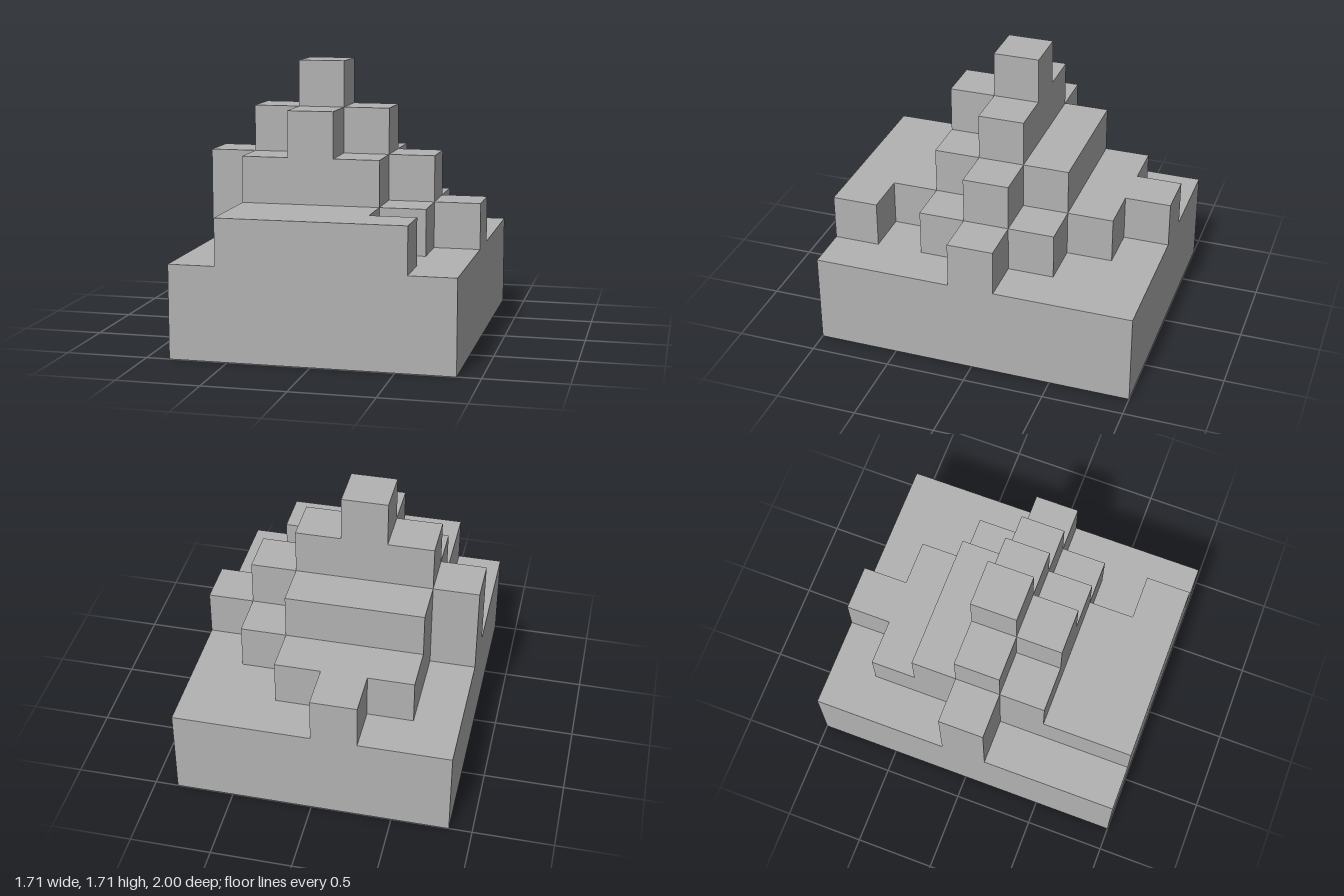
import * as THREE from 'three';
import { mergeGeometries } from 'three/addons/utils/BufferGeometryUtils.js';

const U = 2 / 7; // edge of one cube

// Column heights in cubes: rows run back to front, digits from -x to +x
const HEIGHTS = ['223222', '233322', '244432', '456543', '245432', '233322', '233332']
  .map((row) => [...row].map(Number));
const NX = 6, NZ = 7;
const heightAt = (i, j) => HEIGHTS[j]?.[i] ?? 0;

// One outward-facing rectangle
function face(w, h, x, y, z, rx, ry) {
  return new THREE.PlaneGeometry(w, h).rotateX(rx).rotateY(ry).translate(x, y, z);
}

// Exposed faces of every column between two levels
function tierGeometry(low, high) {
  const faces = [];
  const h = (high - low) * U, y = ((high + low) / 2) * U;
  for (let j = 0; j < NZ; j++) {
    for (let i = 0; i < NX; i++) {
      if (heightAt(i, j) < high) continue;
      const x = (i + 0.5 - NX / 2) * U, z = (j + 0.5 - NZ / 2) * U;
      if (heightAt(i, j) === high) faces.push(face(U, U, x, high * U, z, -Math.PI / 2, 0));
      if (low === 0) faces.push(face(U, U, x, 0, z, Math.PI / 2, 0));
      for (const [dx, dz] of [[1, 0], [-1, 0], [0, 1], [0, -1]]) {
        if (heightAt(i + dx, j + dz) >= high) continue;
        faces.push(face(U, h, x + (dx * U) / 2, y, z + (dz * U) / 2, 0, Math.atan2(dx, dz)));
      }
    }
  }
  return mergeGeometries(faces);
}

export function createModel() {
  const model = new THREE.Group();
  model.name = 'steppedBlockMound';
  const stone = new THREE.MeshStandardMaterial({ color: 0xb2b2b2 });
  stone.name = 'stone grey';

  // Solid base, then one tier per cube layer up to the peak
  const tiers = [
    ['base', 0, 2], ['lowerTier', 2, 3], ['middleTier', 3, 4], ['upperTier', 4, 5], ['peak', 5, 6],
  ];
  for (const [name, low, high] of tiers) {
    const mesh = new THREE.Mesh(tierGeometry(low, high), stone);
    mesh.name = name;
    model.add(mesh);
  }
  return model;
}
